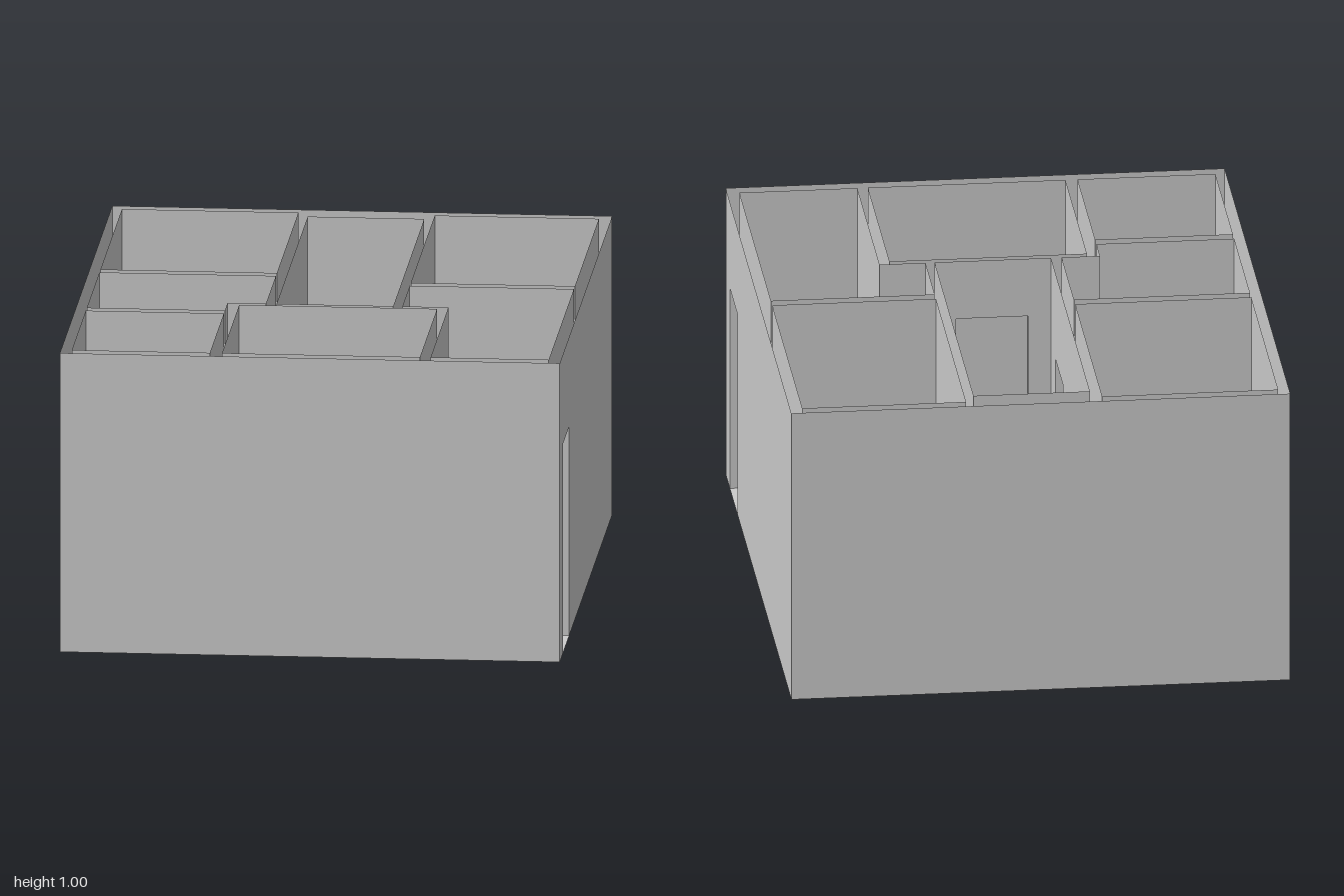
import * as THREE from 'three';
import { mergeGeometries } from 'three/addons/utils/BufferGeometryUtils.js';

const TOP = 1, STEP = 0.1;
const material = new THREE.MeshStandardMaterial({ color: 0xcccccc, side: THREE.DoubleSide });

const rect = (x0, x1, z0, z1) => [[x0, z0], [x1, z0], [x1, z1], [x0, z1]];

// Rooms: outline seen from above, floor height and the height where the walls start
const rooms = [
  { name: 'backRightRoom', outline: rect(-0.78, -0.205, -0.96, -0.14), floor: 0, base: 0 },
  { name: 'middleRightRoom', floor: 0, base: 0,
    outline: [[-0.78, -0.1], [-0.205, -0.1], [-0.205, 0.275], [-0.33, 0.275], [-0.33, 0.38], [-0.78, 0.38]] },
  { name: 'frontRightRoom', outline: rect(-0.78, -0.33, 0.42, 0.955), floor: STEP, base: STEP },
  { name: 'frontRoom', outline: rect(-0.29, 0.355, 0.3, 0.955), floor: STEP, base: 0 },
  { name: 'corridor', outline: rect(-0.17, 0.21, -0.91, 0.275), floor: 0, base: 0 },
  { name: 'backLeftRoom', outline: rect(0.24, 0.775, -0.96, -0.045), floor: 0, base: 0 },
  { name: 'frontLeftRoom', floor: 0, base: 0,
    outline: [[0.24, -0.005], [0.775, -0.005], [0.775, 0.955], [0.39, 0.955], [0.39, 0.275], [0.24, 0.275]] },
];

// Doorways: x range, z range, sill height, and the axis they pass along (0 = x, 1 = z)
const doors = [
  [-0.205, -0.17, -0.895, -0.66, 0, 0],
  [-0.205, -0.17, -0.09, 0.145, 0, 0],
  [0.21, 0.24, -0.85, -0.62, 0, 0],
  [0.21, 0.24, 0, 0.225, 0, 0],
  [-0.095, 0.14, 0.275, 0.3, STEP, 1],
  [-0.68, -0.405, 0.38, 0.42, STEP, 1],
  [-0.33, -0.29, 0.52, 0.735, STEP, 0],
  [0.775, 0.815, 0.64, 0.875, 0, 0],
  [-0.815, -0.78, 0.59, 0.82, STEP, 0],
].map(([x0, x1, z0, z1, sill, axis]) => ({ min: [x0, z0], max: [x1, z1], sill, head: sill + 0.7, axis }));

function quad(a, b, c, d) {
  const g = new THREE.BufferGeometry();
  g.setAttribute('position', new THREE.Float32BufferAttribute([...a, ...b, ...c, ...d], 3));
  g.setIndex([0, 1, 2, 0, 2, 3]);
  g.computeVertexNormals();
  return g;
}

// Upright panel from plan point p to q
const panel = (p, q, y0, y1) =>
  quad([p[0], y0, p[1]], [q[0], y0, q[1]], [q[0], y1, q[1]], [p[0], y1, p[1]]);

// One wall face from p to q, split around any doorway that opens into it
function wallFace(p, q, base) {
  const across = p[0] === q[0] ? 0 : 1, along = 1 - across;
  const sign = Math.sign(q[along] - p[along]);
  const at = (s) => (across === 0 ? [p[0], s] : [s, p[1]]);
  const lo = Math.min(p[along], q[along]), hi = Math.max(p[along], q[along]);
  const cuts = doors
    .filter((d) => d.axis === across && (d.min[across] === p[across] || d.max[across] === p[across])
      && d.min[along] >= lo && d.max[along] <= hi)
    .sort((a, b) => sign * (a.min[along] - b.min[along]));
  const parts = [];
  let s = p[along];
  for (const d of cuts) {
    const [from, to] = sign > 0 ? [d.min[along], d.max[along]] : [d.max[along], d.min[along]];
    parts.push(panel(at(s), at(from), base, TOP), panel(at(from), at(to), d.head, TOP));
    if (d.sill > base) parts.push(panel(at(from), at(to), base, d.sill));
    s = to;
  }
  parts.push(panel(at(s), q, base, TOP));
  return parts;
}

const walls = (outline, base) =>
  mergeGeometries(outline.flatMap((p, i) => wallFace(p, outline[(i + 1) % outline.length], base)));

function floorPlate(outline, y) {
  const shape = new THREE.Shape(outline.map(([x, z]) => new THREE.Vector2(x, -z)));
  return new THREE.ShapeGeometry(shape).rotateX(-Math.PI / 2).translate(0, y, 0);
}

// Threshold, head and the two jambs lining a doorway
function doorLining({ min, max, sill, head, axis }) {
  const c = rect(min[0], max[0], min[1], max[1]);
  const level = (y) => c.map(([x, z]) => [x, y, z]);
  const jambs = axis === 0 ? [0, 2] : [1, 3];
  return mergeGeometries([
    quad(...level(sill).reverse()),
    quad(...level(head)),
    ...jambs.map((i) => panel(c[i], c[(i + 1) % 4], sill, head)),
  ]);
}

export function createModel() {
  const house = new THREE.Group();
  house.name = 'house';
  const add = (name, geometry, parent = house) => {
    const mesh = new THREE.Mesh(geometry, material);
    mesh.name = name;
    parent.add(mesh);
  };

  // Outer shell, facing outwards
  add('outerWalls', walls(rect(-0.815, 0.815, -1, 1).reverse(), 0));

  // Rooms
  for (const room of rooms) {
    const group = new THREE.Group();
    group.name = room.name;
    add('roomWalls', walls(room.outline, room.base), group);
    add('floor', floorPlate(room.outline, room.floor), group);
    house.add(group);
  }

  // Floor filling the gap between the two raised rooms, either side of their doorway
  for (const [z0, z1] of [[0.3, 0.52], [0.735, 0.955]])
    add('floorStrip', floorPlate(rect(-0.33, -0.29, z0, z1), STEP));

  // Doorways
  for (const door of doors) add('doorLining', doorLining(door));
  return house;
}
